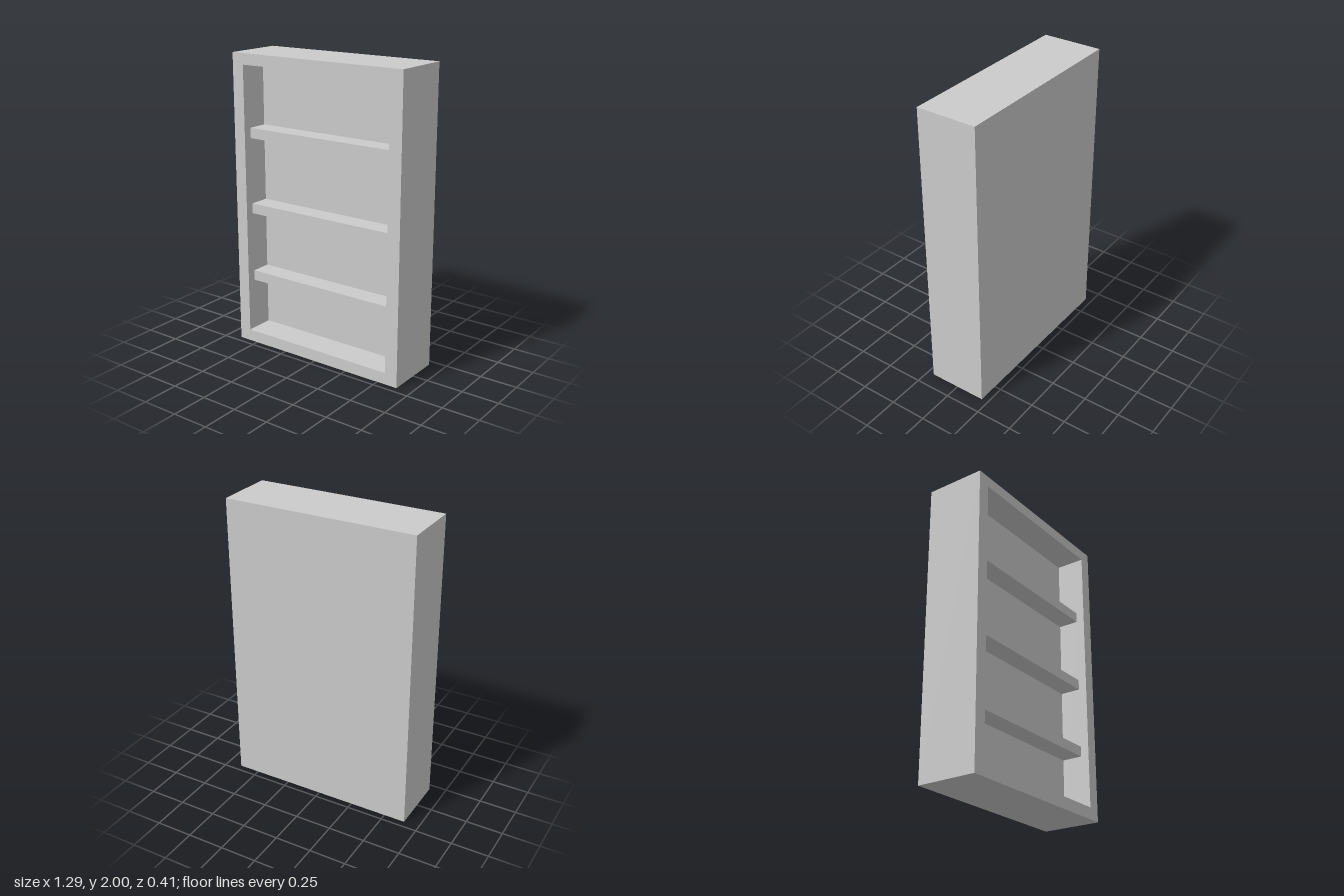
import * as THREE from 'three';
import { mergeGeometries } from 'three/addons/utils/BufferGeometryUtils.js';

const W = 1.29, H = 2, D = 0.406;                            // cabinet outside
const IN = { x0: -0.56, x1: 0.558, y0: 0.08, y1: 1.926 };    // front opening
const RECESS = 0.198;                                        // depth of the niche
const FRONT = D / 2;

const material = new THREE.MeshStandardMaterial({ color: 0xcccccc });

// Box without its +z face, placed by its bounds, with its open side at the front plane
function openBox(x0, x1, y0, y1, depth, inward = false) {
  const geo = new THREE.BoxGeometry(x1 - x0, y1 - y0, depth);
  const index = Array.from(geo.index.array);
  index.splice(24, 6);
  geo.setIndex(index);
  geo.clearGroups();
  if (inward) {
    geo.scale(-1, 1, 1); // mirroring turns the walls to face inside
    geo.computeVertexNormals();
  }
  return geo.translate((x0 + x1) / 2, (y0 + y1) / 2, FRONT - depth / 2);
}

function rectangle(target, x0, x1, y0, y1) {
  target.moveTo(x0, y0).lineTo(x1, y0).lineTo(x1, y1).lineTo(x0, y1).closePath();
  return target;
}

export function createModel() {
  const group = new THREE.Group();
  group.name = 'bookcase';

  // Cabinet: outer shell, front rim around the opening, and the recessed niche
  const rim = rectangle(new THREE.Shape(), -W / 2, W / 2, 0, H);
  rim.holes.push(rectangle(new THREE.Path(), IN.x0, IN.x1, IN.y0, IN.y1));
  const cabinet = new THREE.Mesh(mergeGeometries([
    openBox(-W / 2, W / 2, 0, H, D),
    new THREE.ShapeGeometry(rim).translate(0, 0, FRONT),
    openBox(IN.x0, IN.x1, IN.y0, IN.y1, RECESS, true),
  ]), material);
  cabinet.name = 'cabinet';
  group.add(cabinet);

  // Shelves, set back a little from the rim
  const thickness = 0.069, setback = 0.058, depth = RECESS - setback;
  [0.469, 0.951, 1.47].forEach((y, i) => {
    const shelf = new THREE.Mesh(new THREE.BoxGeometry(IN.x1 - IN.x0, thickness, depth), material);
    shelf.position.set((IN.x0 + IN.x1) / 2, y, FRONT - setback - depth / 2);
    shelf.name = `shelf${i + 1}`;
    group.add(shelf);
  });

  return group;
}
